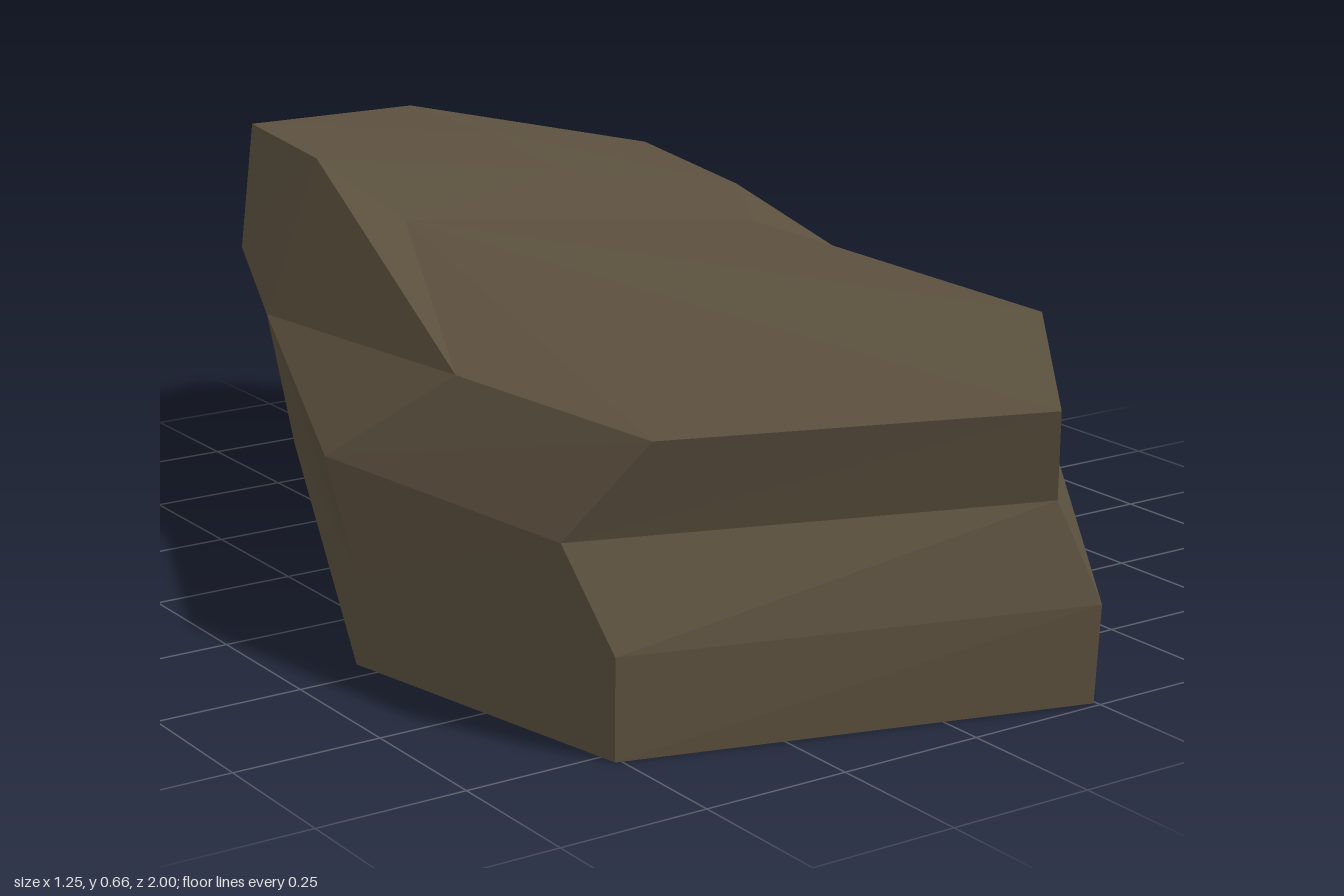
import * as THREE from 'three';

// Seven corners run around the rock, counterclockwise seen from above
const COLUMNS = ['F', 'R', 'BR', 'B', 'BL', 'L', 'FL'];

// Cross-sections from the ground up: [x, y, z] for each column
const RINGS = [
  [[0.245, 0, 0.99], [0.625, 0, 0.435], [0.52, 0, -0.46], [0.165, 0, -0.765],
    [-0.24, 0.09, -0.7], [-0.62, 0, 0.2], [-0.51, 0, 0.78]],
  [[0.245, 0.165, 1], [0.55, 0.18, 0.38], [0.525, 0.25, -0.53], [0.17, 0.25, -0.76],
    [-0.28, 0.34, -0.72], [-0.62, 0.165, 0.2], [-0.51, 0.165, 0.78]],
  [[0.2, 0.325, 0.94], [0.607, 0.345, 0.41], [0.54, 0.34, -0.73], [0.14, 0.34, -0.975],
    [-0.25, 0.435, -0.87], [-0.625, 0.33, 0.12], [-0.54, 0.32, 0.68]],
  [[0.17, 0.48, 0.975], [0.5, 0.5, 0.55], [0.577, 0.57, -0.73], [0.2, 0.64, -1],
    [-0.2, 0.66, -0.91], [-0.5, 0.49, 0.32], [-0.435, 0.48, 0.765]],
];

// Extra corners of the top: plateau edge (D, H), ridge (G, J), shoulders (E, K)
const TOP = {
  D: [0.45, 0.525, -0.19], E: [0.547, 0.55, -0.38], G: [0.18, 0.61, -0.44],
  H: [-0.16, 0.56, -0.41], J: [0.2, 0.635, -0.7], K: [-0.2, 0.635, -0.66],
};

function facetedMesh(name, points, faces, material) {
  const positions = faces.flatMap((f) => f.split(' ').flatMap((key) => points[key]));
  const geometry = new THREE.BufferGeometry();
  geometry.setAttribute('position', new THREE.Float32BufferAttribute(positions, 3));
  geometry.computeVertexNormals(); // unshared corners give flat facets
  const mesh = new THREE.Mesh(geometry, material);
  mesh.name = name;
  return mesh;
}

export function createModel() {
  const stone = new THREE.MeshStandardMaterial({ color: 0x5b503e });
  stone.name = 'brown stone';

  const points = { ...TOP };
  RINGS.forEach((ring, r) => ring.forEach((p, i) => { points[COLUMNS[i] + r] = p; }));

  // Regular side facets; the irregular spots are listed below
  const sides = [];
  const irregular = ['R1', 'BL1', 'R2', 'BL2'];
  for (let r = 0; r < 3; r++) {
    COLUMNS.forEach((a, i) => {
      if (irregular.includes(a + r)) return;
      const b = COLUMNS[(i + 1) % 7];
      sides.push(`${a}${r} ${b}${r} ${b}${r + 1}`, `${a}${r} ${b}${r + 1} ${a}${r + 1}`);
    });
  }
  // Right flank
  sides.push('R1 BR1 R2', 'BR1 E R2', 'BR1 BR2 E', 'BR2 BR3 E', 'R2 E D', 'R2 D R3');
  // Left flank
  sides.push('BL1 L1 L2', 'BL1 L2 L3', 'BL1 L3 K', 'BL1 K BL2', 'BL2 K BL3');

  // Front plateau, then the raised rear
  const plateau = ['H L3 FL3', 'H FL3 F3', 'H F3 R3', 'H R3 D'];
  const raisedRear = ['H D G', 'D E G', 'G E J', 'E BR3 J', 'BR3 B3 J', 'B3 BL3 J',
    'BL3 K J', 'K G J', 'K H G', 'K L3 H'];

  // Underside, slightly lifted at one rear corner
  const underside = [];
  for (let i = 1; i < 6; i++) underside.push(`F0 ${COLUMNS[i + 1]}0 ${COLUMNS[i]}0`);

  const rock = new THREE.Group();
  rock.name = 'rock';
  rock.add(
    facetedMesh('rockSides', points, sides, stone),
    facetedMesh('rockPlateau', points, plateau, stone),
    facetedMesh('rockRaisedRear', points, raisedRear, stone),
    facetedMesh('rockUnderside', points, underside, stone),
  );
  return rock;
}
